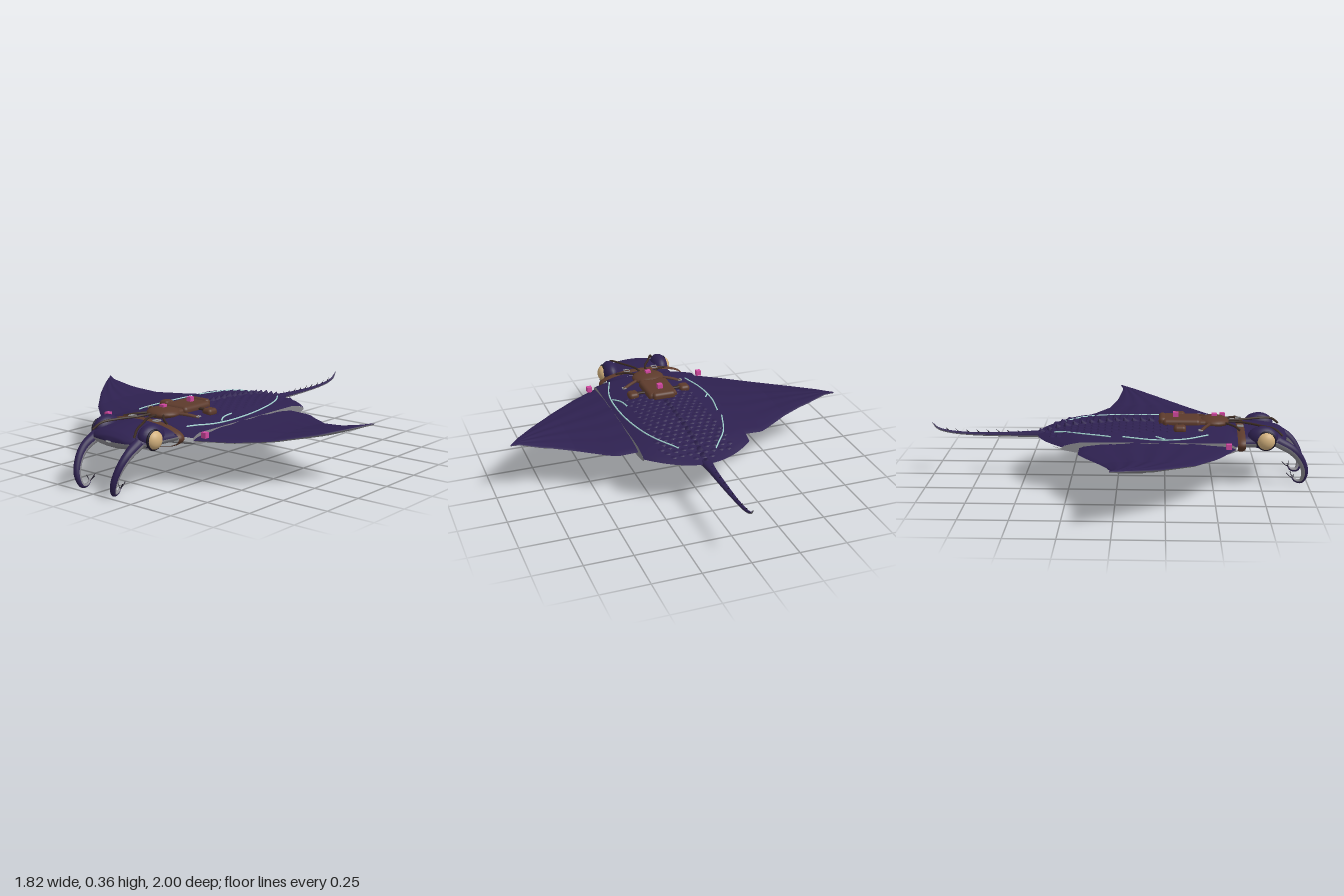
import * as THREE from 'three';
import { mergeGeometries } from 'three/addons/utils/BufferGeometryUtils.js';
import { RoundedBoxGeometry } from 'three/addons/geometries/RoundedBoxGeometry.js';

const V = (x, y, z) => new THREE.Vector3(x, y, z);
const lerp = THREE.MathUtils.lerp;

// Piecewise-linear lookup in [key, value] pairs with rising keys
function table(points, k) {
  for (let i = 1; i < points.length; i++) {
    const [a, va] = points[i - 1], [b, vb] = points[i];
    if (k <= b) return lerp(va, vb, Math.max(0, (k - a) / (b - a)));
  }
  return points[points.length - 1][1];
}

// Grid surface from a rule f(u, v) -> [x, y, z]
function sheet(nu, nv, f, flip = false) {
  const pos = [], index = [];
  for (let j = 0; j <= nv; j++) for (let i = 0; i <= nu; i++) pos.push(...f(i / nu, j / nv));
  for (let j = 0; j < nv; j++) for (let i = 0; i < nu; i++) {
    const a = j * (nu + 1) + i, b = a + 1, c = a + nu + 1, d = c + 1;
    index.push(...(flip ? [a, c, b, b, c, d] : [a, b, c, b, d, c]));
  }
  const g = new THREE.BufferGeometry();
  g.setAttribute('position', new THREE.Float32BufferAttribute(pos, 3));
  g.setIndex(index);
  g.computeVertexNormals();
  return g;
}

// Upper (side 1) or lower (side -1) half of a body swept along [x, y, z, width, upper, lower] stations
function halfLoft(stations, side, nu, nv) {
  const path = new THREE.CatmullRomCurve3(stations.map(s => V(s[0], s[1], s[2])));
  const radii = new THREE.CatmullRomCurve3(stations.map(s => V(s[3], s[4], s[5])));
  return sheet(nu, nv, (u, v) => {
    const c = path.getPoint(v), r = radii.getPoint(v), a = Math.PI * (1 - u);
    const up = V(1, 0, 0).cross(path.getTangent(v)).normalize();
    c.addScaledVector(up, side * Math.sin(a) * (side > 0 ? r.y : r.z));
    c.x += Math.cos(a) * r.x;
    return c.toArray();
  }, side < 0);
}

function mirrored(geometry) {
  const g = geometry.clone().scale(-1, 1, 1);
  if (!g.index) g.setIndex([...Array(g.attributes.position.count).keys()]);
  const ix = g.index.array;
  for (let i = 0; i < ix.length; i += 3) [ix[i], ix[i + 1]] = [ix[i + 1], ix[i]];
  return g;
}

const tube = (points, r, n = 24) =>
  new THREE.TubeGeometry(new THREE.CatmullRomCurve3(points), n, r, 6);

// Body form: half-width, mid height and centreline heights along z
const HALF = 0.29, MID = 0.235;
const backLine = [[-0.43, 0.25], [-0.35, 0.265], [-0.2, 0.29], [0, 0.308], [0.5, 0.31], [0.66, 0.285]];
const bellyLine = [[-0.43, 0.215], [-0.2, 0.19], [0, 0.184], [0.4, 0.184], [0.66, 0.195]];
const bodyFront = x => 0.66 - 0.05 * (x / HALF) ** 2;
const bodyRear = x => -0.43 + 0.15 * (x / HALF) ** 2;
function bodyY(x, z, side) {
  const s = (x / HALF) ** 2, f = bodyFront(x), r = bodyRear(x);
  const v = THREE.MathUtils.clamp((f - z) / (f - r), 0, 1);
  const taper = Math.sqrt(Math.min(1, v / 0.06 + 0.15, (1 - v) / 0.12 + 0.02));
  const y = side > 0 ? lerp(table(backLine, z), 0.267, s) : lerp(table(bellyLine, z), 0.208, s);
  return MID + (y - MID) * taper;
}

// Wing form: edges, height and half thickness along x
const leading = [[0.29, 0.61], [0.44, 0.52], [0.585, 0.4], [0.75, 0.22], [0.85, 0.085], [0.91, -0.01]];
const trailing = [[0.29, -0.19], [0.4, -0.19], [0.585, -0.07], [0.7, -0.03], [0.86, 0], [0.91, -0.015]];
const wingMid = [[0.29, 0.235], [0.45, 0.231], [0.585, 0.236], [0.75, 0.26], [0.91, 0.298]];
const wingThick = [[0.29, 0.03], [0.45, 0.026], [0.585, 0.019], [0.75, 0.014], [0.91, 0.004]];
const wingSheet = (x0, x1, side) => sheet(20, 40, (u, v) => {
  const x = lerp(x0, x1, u), arch = Math.sin(Math.PI * v);
  const ribs = 0.0025 * Math.sin(v * Math.PI * 10) * arch * Math.min(1, (0.91 - x) * 8);
  const y = table(wingMid, x) + side * table(wingThick, x) * Math.sqrt(Math.max(arch, 0)) + ribs;
  return [x, y, lerp(table(leading, x), table(trailing, x), v)];
}, side < 0);

export function createModel() {
  const model = new THREE.Group();
  const mat = (name, color) => {
    const m = new THREE.MeshStandardMaterial({ color });
    m.name = name;
    return m;
  };
  const purple = mat('purple skin', 0x2e2150), grey = mat('grey belly', 0x88878d);
  const leather = mat('saddle leather', 0x5c3a2b), strap = mat('dark strap', 0x3a2a22);
  const cream = mat('cream eye', 0xd2b07c), glow = mat('pale cyan marking', 0xa5d8d4);
  const pink = mat('pink marker', 0xd0479f), metal = mat('buckle metal', 0x9a9a9c);
  const dark = mat('dark claw', 0x1b1626);
  const add = (name, geometry, material) => {
    const m = new THREE.Mesh(geometry, material);
    m.name = name;
    model.add(m);
    return m;
  };
  const pair = (name, geometry, material) => {
    add('left ' + name, geometry, material);
    add('right ' + name, mirrored(geometry), material);
  };

  // Body and wings
  for (const [side, label, m] of [[1, 'upper', purple], [-1, 'lower', grey]]) {
    add(label + ' body', sheet(32, 48, (u, v) => {
      const x = lerp(-HALF, HALF, u), z = lerp(bodyFront(x), bodyRear(x), v);
      return [x, bodyY(x, z, side), z];
    }, side < 0), m);
    pair(label + ' inner wing', wingSheet(0.29, 0.585, side), m);
    pair(label + ' outer wing', wingSheet(0.585, 0.91, side), m);
  }
  pair('body edge', sheet(1, 40, (u, v) => {
    const z = lerp(bodyFront(HALF), bodyRear(HALF), v);
    return [HALF, lerp(bodyY(HALF, z, -1), bodyY(HALF, z, 1), u), z];
  }, true), grey);

  // Head, tail and curled head fins, each purple above and grey below
  const head = [[0, 0.24, 0.892, 0.02, 0.005, 0.005], [0, 0.24, 0.882, 0.1, 0.025, 0.025],
    [0, 0.24, 0.85, 0.16, 0.043, 0.04], [0, 0.24, 0.78, 0.188, 0.055, 0.05],
    [0, 0.24, 0.7, 0.19, 0.06, 0.052], [0, 0.24, 0.6, 0.2, 0.058, 0.05]];
  const tail = [[0, 0.23, -0.4, 0.032, 0.022, 0.016], [0, 0.228, -0.5, 0.021, 0.017, 0.013],
    [0, 0.227, -0.65, 0.016, 0.012, 0.01], [0, 0.23, -0.8, 0.011, 0.009, 0.008],
    [0, 0.241, -0.91, 0.009, 0.008, 0.007], [0, 0.26, -0.97, 0.006, 0.006, 0.006],
    [0, 0.292, -1, 0.001, 0.001, 0.001]];
  const fin = [[0.105, 0.042, 0.915, 0.003, 0.003, 0.003], [0.103, 0.018, 0.938, 0.009, 0.009, 0.009],
    [0.108, 0.018, 0.968, 0.013, 0.013, 0.013], [0.124, 0.07, 0.983, 0.017, 0.018, 0.018],
    [0.138, 0.14, 0.958, 0.019, 0.022, 0.022], [0.145, 0.195, 0.91, 0.022, 0.026, 0.026],
    [0.14, 0.24, 0.83, 0.03, 0.03, 0.03]];
  for (const [side, label, m] of [[1, 'upper', purple], [-1, 'lower', grey]]) {
    add(label + ' head', halfLoft(head, side, 28, 28), m);
    add(label + ' tail', halfLoft(tail, side, 8, 40), m);
    pair(label + ' head fin', halfLoft(fin, side, 10, 40), m);
  }
  for (const [dx, dz] of [[-0.028, 0], [0, -0.025], [0.02, 0.012]])
    pair('fin claw', tube([V(0.104, 0.03, 0.925), V(0.104 + dx * 0.4, 0.042, 0.918 + dz * 0.5),
      V(0.104 + dx, 0.06, 0.912 + dz)], 0.002, 6), dark);

  // Brows and eyes
  const ball = (rx, ry, rz, x, y, z) => new THREE.SphereGeometry(1, 24, 16).scale(rx, ry, rz).translate(x, y, z);
  pair('brow', ball(0.048, 0.06, 0.08, 0.15, 0.264, 0.755), purple);
  pair('eye', ball(0.036, 0.047, 0.047, 0.183, 0.253, 0.77), cream);
  pair('eyelid', new THREE.TorusGeometry(0.046, 0.007, 8, 28).rotateY(Math.PI / 2)
    .translate(0.186, 0.253, 0.77), dark);

  // Overlapping scales with a taller ridge on the centreline
  const scales = [];
  const scale = (x, y, z, r, h) => {
    const g = new THREE.ConeGeometry(r, h, 6);
    const p = g.attributes.position;
    for (let i = 0; i < p.count; i++) p.setZ(i, p.getZ(i) * 1.2 - (p.getY(i) / h + 0.5) * r * 0.8);
    g.computeVertexNormals();
    scales.push(g.translate(x, y + h * 0.3, z));
  };
  for (let row = 0; row < 20; row++) for (let k = -4; k <= 4; k++) {
    const x = (k + (row % 2) * 0.5) * 0.042, z = -0.37 + row * 0.036;
    if (z > bodyRear(x) + 0.05 && Math.abs(x) < 0.19) scale(x, bodyY(x, z, 1), z, 0.021, 0.007);
  }
  for (let z = -0.4; z < 0.22; z += 0.045) scale(0, bodyY(0, z, 1), z, 0.024, 0.024);
  for (let row = 0; row < 5; row++) for (let k = -2; k <= 2; k++)
    scale((k + (row % 2) * 0.5) * 0.036, 0.294 - row * 0.0035 - Math.abs(k) * 0.002, 0.69 + row * 0.032, 0.018, 0.006);
  add('scales', mergeGeometries(scales), purple);

  // Backward-leaning spines along the tail
  const spines = [];
  for (let z = -0.48; z > -0.93; z -= 0.055)
    spines.push(new THREE.ConeGeometry(0.004, 0.03, 5).rotateX(-0.8)
      .translate(0, 0.245 + Math.max(0, -z - 0.85) * 0.15, z));
  add('tail spines', mergeGeometries(spines), dark);

  // Glowing lines laid on the back
  const marking = pts => {
    const flat = new THREE.CatmullRomCurve3(pts.map(([x, z]) => V(x, 0, z)));
    add('back marking', tube(flat.getPoints(24).map(p => V(p.x, bodyY(p.x, p.z, 1) + 0.002, p.z)), 0.004, 40), glow);
  };
  marking([[0.105, -0.29], [0.18, -0.18], [0.235, -0.02], [0.265, 0.24], [0.255, 0.43], [0.21, 0.57]]);
  marking([[0.21, 0.23], [0.225, 0.31], [0.255, 0.36]]);
  marking([[-0.08, -0.335], [-0.17, -0.21], [-0.235, -0.03]]);
  marking([[-0.235, 0.03], [-0.265, 0.2], [-0.255, 0.35], [-0.21, 0.47]]);
  marking([[-0.23, 0.2], [-0.26, 0.25]]);

  // Saddle: rear seat, front seat, back roll and pouches
  const pad = (w, h, d, x, y, z) => new RoundedBoxGeometry(w, h, d, 4, Math.min(w, h, d) * 0.45).translate(x, y, z);
  add('rear seat', pad(0.165, 0.045, 0.2, 0, 0.313, 0.335), leather);
  add('back roll', pad(0.13, 0.045, 0.04, 0, 0.32, 0.235), leather);
  add('front seat', ball(0.09, 0.03, 0.08, 0, 0.312, 0.508), leather);
  add('seat bridge', pad(0.14, 0.035, 0.12, 0, 0.309, 0.44), leather);
  pair('pouch', pad(0.058, 0.04, 0.065, 0.148, 0.305, 0.325), leather);
  pair('pouch strap', pad(0.09, 0.012, 0.02, 0.1, 0.312, 0.325), strap);
  pair('side strap', tube([V(0.08, 0.312, 0.48), V(0.125, 0.307, 0.455), V(0.17, 0.296, 0.43)], 0.009, 8), leather);

  // Neck belt, buckles and reins
  add('neck belt', sheet(64, 4, (u, v) => {
    const a = -u * Math.PI * 2, bulge = 0.006 * Math.sin(v * Math.PI);
    return [-Math.cos(a) * (0.245 + bulge), 0.242 + Math.sin(-a) * (0.062 + bulge), 0.662 - v * 0.04];
  }), leather);
  const frame = new THREE.TorusGeometry(0.02, 0.0035, 4, 4).rotateZ(Math.PI / 4).rotateX(Math.PI / 2);
  pair('belt buckle', frame.clone().translate(0.083, 0.308, 0.642), metal);
  pair('strap buckle', frame.clone().scale(0.7, 1, 0.7).translate(0.165, 0.303, 0.432), metal);
  pair('rein', tube([V(0.02, 0.315, 0.58), V(0.03, 0.314, 0.65), V(0.08, 0.31, 0.74), V(0.12, 0.3, 0.82),
    V(0.14, 0.27, 0.86)], 0.006), strap);
  pair('girth strap', tube([V(0.05, 0.315, 0.56), V(0.1, 0.309, 0.61), V(0.15, 0.297, 0.64)], 0.006), strap);

  // Floating marker cubes
  for (const [x, y, z] of [[0, 0.345, 0.305], [0, 0.34, 0.508], [0.33, 0.262, 0.57], [-0.33, 0.262, 0.57]])
    add('marker cube', new THREE.BoxGeometry(0.028, 0.028, 0.028).translate(x, y, z), pink);

  return model;
}
